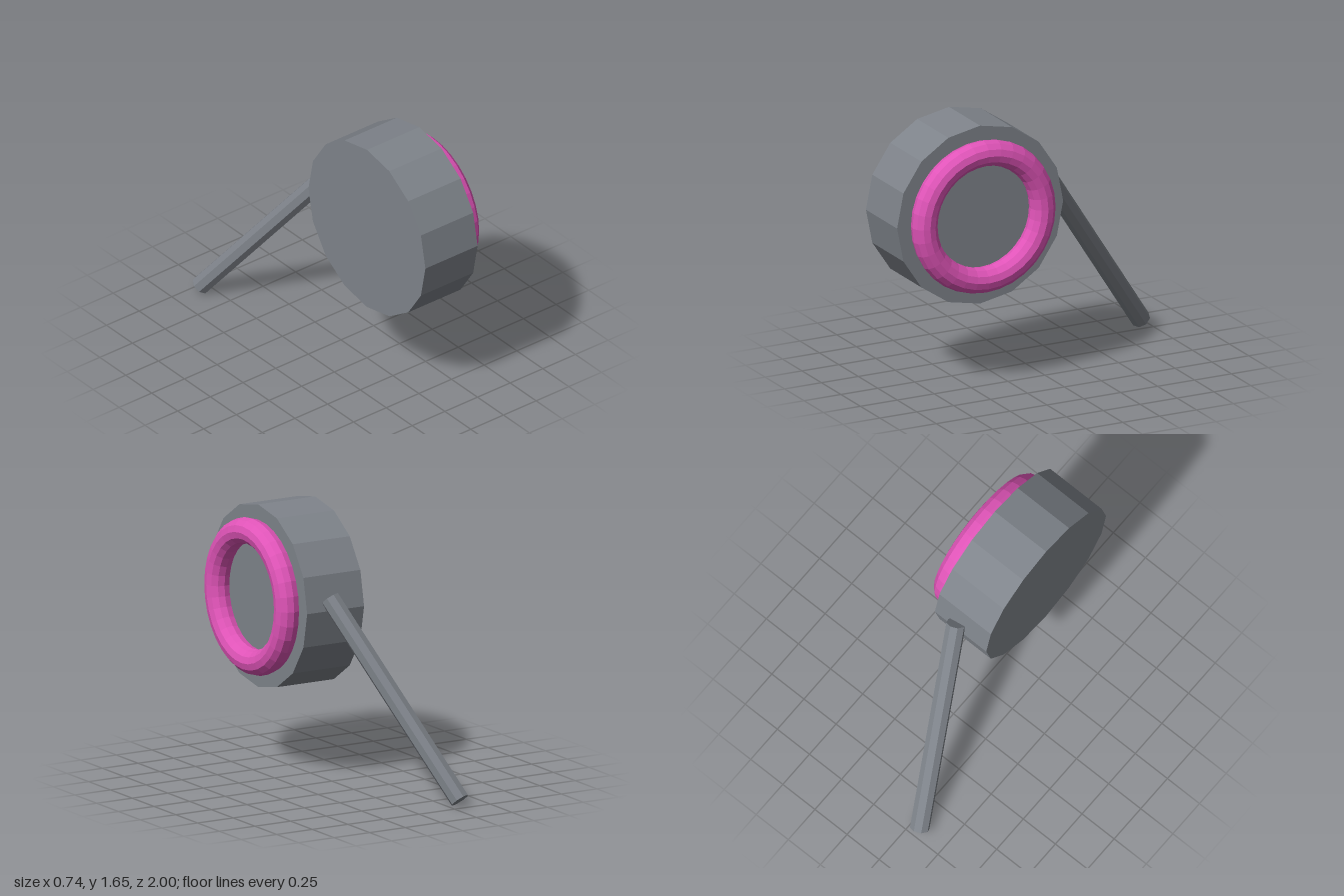
import * as THREE from 'three';

export function createModel() {
  const group = new THREE.Group();
  const grey = new THREE.MeshStandardMaterial({ color: 0x7e838a, flatShading: true });
  grey.name = 'slate grey';
  const pink = new THREE.MeshStandardMaterial({ color: 0xe054b8, flatShading: true });
  pink.name = 'bright pink';

  const add = (name, geometry, material, x, y, z) => {
    const mesh = new THREE.Mesh(geometry, material);
    mesh.name = name;
    mesh.position.set(x, y, z);
    group.add(mesh);
    return mesh;
  };

  // Sixteen-sided drum lying on its side, axis along x
  const drum = new THREE.CylinderGeometry(0.5625, 0.5625, 0.4, 16);
  drum.rotateZ(-Math.PI / 2);
  add('drum', drum, grey, 0.05, 1.0865, 0.4385);

  // Ring half proud of the drum's left face
  const ring = new THREE.TorusGeometry(0.4, 0.08, 12, 32);
  ring.rotateY(Math.PI / 2);
  add('ring', ring, pink, 0.29, 1.0865, 0.4385);

  // Slanted handle running from the ground up to the rim
  const foot = new THREE.Vector3(-0.317, 0.038, -0.95);
  const tip = new THREE.Vector3(0.0875, 1.163, -0.12);
  const axis = tip.clone().sub(foot);
  const centre = foot.clone().add(tip).multiplyScalar(0.5);
  const handle = add('handle', new THREE.CylinderGeometry(0.06, 0.06, axis.length(), 8),
    grey, centre.x, centre.y, centre.z);
  handle.quaternion.setFromUnitVectors(new THREE.Vector3(0, 1, 0), axis.normalize());

  return group;
}
